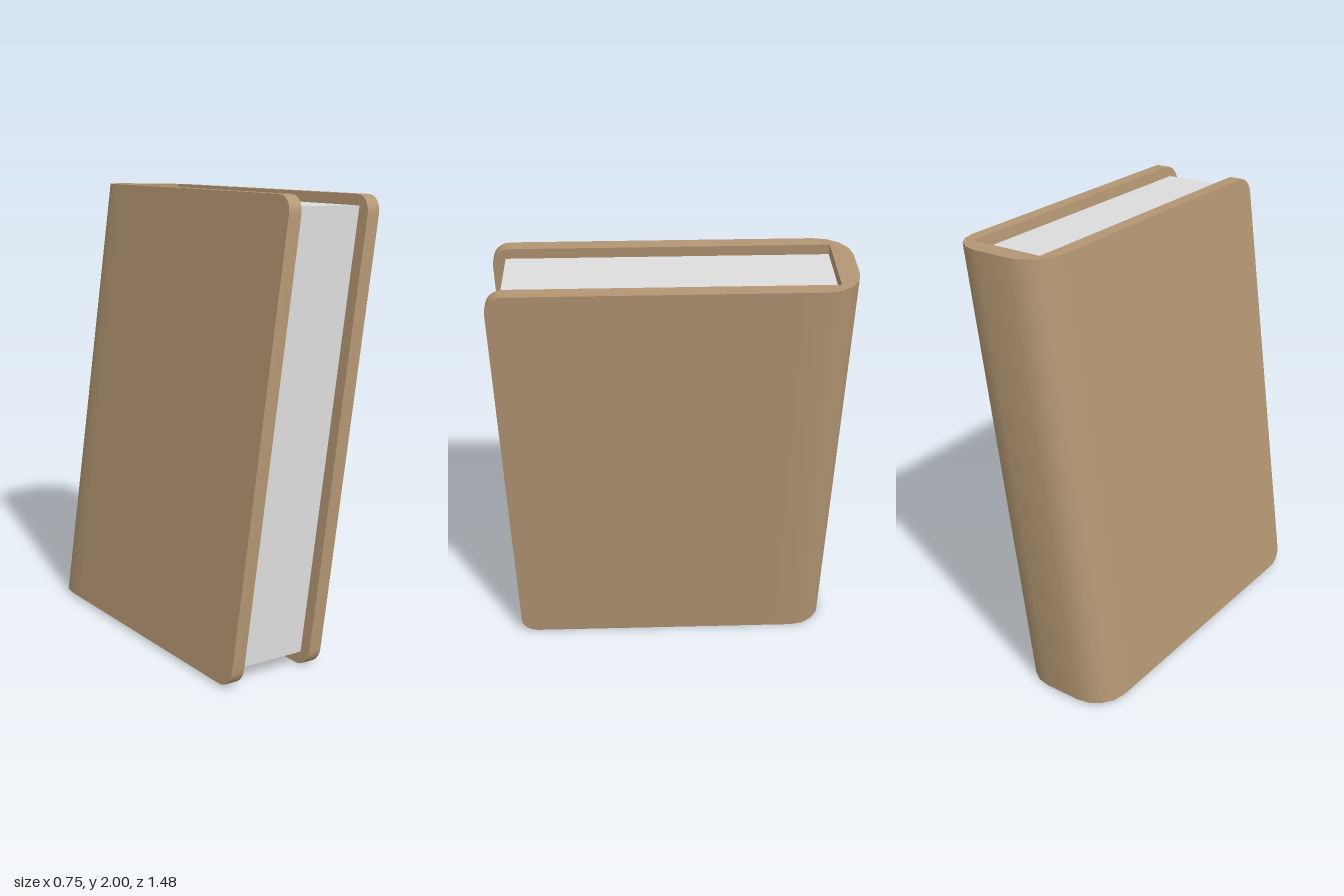
import * as THREE from 'three';
import { toCreasedNormals } from 'three/addons/utils/BufferGeometryUtils.js';

const H = 1.988;          // height of the covers
const OUT = 0.235;        // outer half thickness
const INN = 0.173;        // half thickness of the page block
const FRONT = 0.74, BACK = -0.74, SPINE_IN = -0.655;

// Lean the upright book towards +x
function lean(geometry) {
  const p = geometry.attributes.position;
  for (let i = 0; i < p.count; i++) {
    const x = p.getX(i), y = p.getY(i);
    p.setXY(i, x + 0.1415 * (y - H / 2), y - 0.026 * x + 0.006);
  }
  return geometry;
}

// Half of the U-shaped cover, from the front edge to the spine:
// outer and inner points in plan, and how far top and bottom are cut in
function halfStations() {
  const list = [];
  const r = 0.075, steps = 6;
  for (let i = 0; i <= steps; i++) {
    const a = (1 - i / steps) * Math.PI / 2;
    const z = FRONT - r + r * Math.sin(a);
    list.push({ o: [OUT, z], n: [INN, z], cut: r * (1 - Math.cos(a)) });
  }
  list.push({ o: [OUT, -0.5], n: [INN, -0.5], cut: 0 });
  const R = 0.15;
  for (let i = 0; i <= 4; i++) {
    const a = (i / 4) * Math.PI / 2;
    const z = BACK + R - R * Math.sin(a);
    list.push({
      o: [OUT - R + R * Math.cos(a), z],
      n: [INN, i === 0 ? z : SPINE_IN],
      cut: 0,
    });
  }
  return list;
}

function coverGeometry() {
  const half = halfStations();
  const flip = (s) => ({ o: [-s.o[0], s.o[1]], n: [-s.n[0], s.n[1]], cut: s.cut });
  const stations = [...half.map(flip), ...half.slice().reverse()];
  const rings = stations.map(({ o, n, cut }) => [
    [o[0], cut, o[1]], [o[0], H - cut, o[1]],
    [n[0], H - cut, n[1]], [n[0], cut, n[1]],
  ]);
  const pos = [];
  const same = (a, b) => a.every((v, i) => Math.abs(v - b[i]) < 1e-6);
  const tri = (a, b, c) => {
    if (!same(a, b) && !same(b, c) && !same(a, c)) pos.push(...a, ...b, ...c);
  };
  const quad = (a, b, c, d) => { tri(a, b, c); tri(a, c, d); };
  for (let i = 0; i < rings.length - 1; i++) {
    for (let k = 0; k < 4; k++) {
      const m = (k + 1) % 4;
      quad(rings[i][k], rings[i][m], rings[i + 1][m], rings[i + 1][k]);
    }
  }
  // Front edges of the two boards
  const s = rings[0], e = rings[rings.length - 1];
  quad(s[0], s[3], s[2], s[1]);
  quad(e[0], e[1], e[2], e[3]);
  const g = new THREE.BufferGeometry();
  g.setAttribute('position', new THREE.Float32BufferAttribute(pos, 3));
  return toCreasedNormals(lean(g), Math.PI / 5);
}

function pagesGeometry() {
  const y0 = 0.055, y1 = 1.942, z1 = 0.685;
  const g = new THREE.BoxGeometry(INN * 2, y1 - y0, z1 - SPINE_IN);
  g.translate(0, (y0 + y1) / 2, (z1 + SPINE_IN) / 2);
  lean(g).computeVertexNormals();
  return g;
}

export function createModel() {
  const leather = new THREE.MeshStandardMaterial({ color: 0xb39673 });
  leather.name = 'brown cover';
  const paper = new THREE.MeshStandardMaterial({ color: 0xdcdcdc });
  paper.name = 'pale grey paper';

  const book = new THREE.Group();
  book.name = 'book';
  const cover = new THREE.Mesh(coverGeometry(), leather);
  cover.name = 'cover';
  const pages = new THREE.Mesh(pagesGeometry(), paper);
  pages.name = 'pages';
  book.add(cover, pages);
  return book;
}
